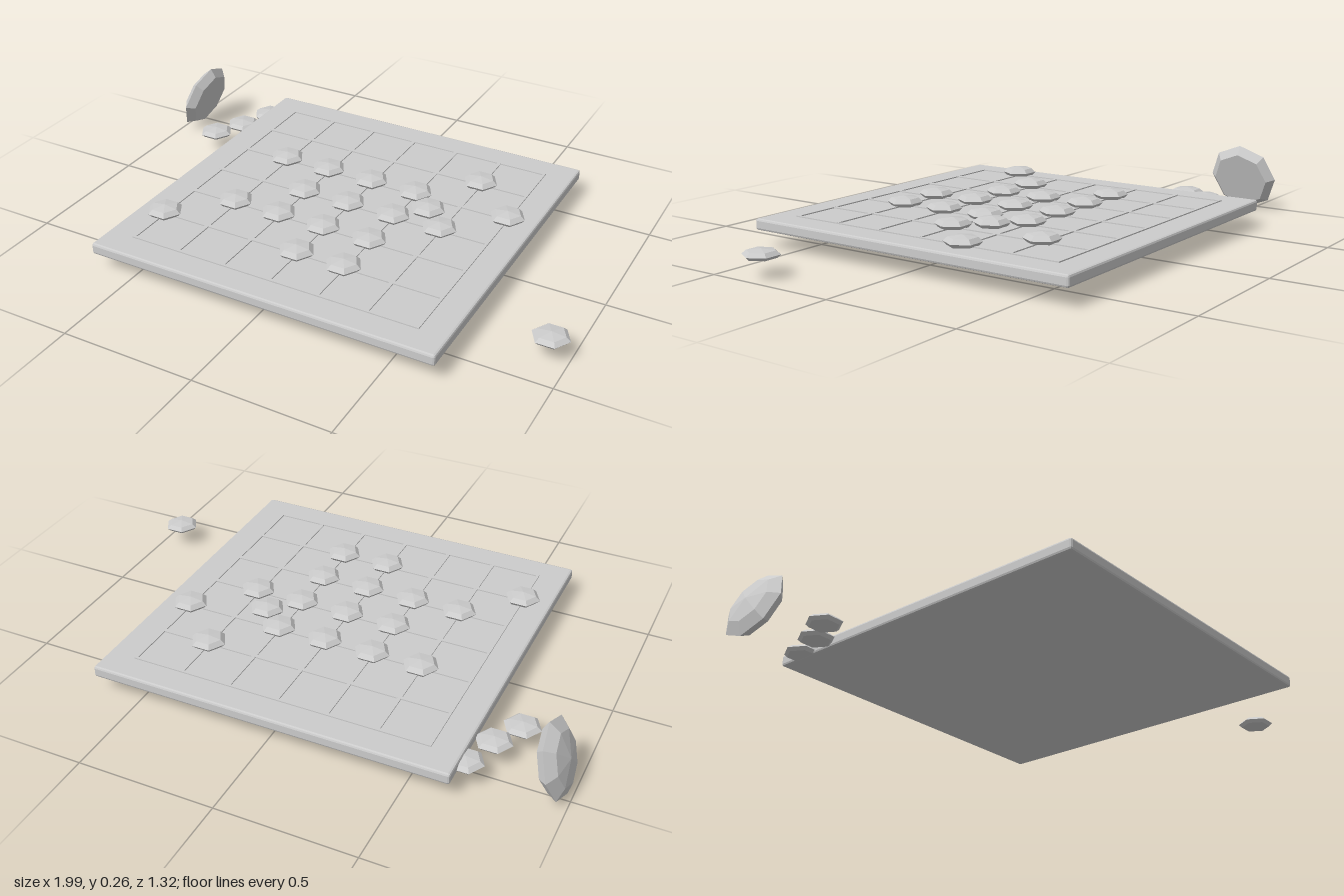
import * as THREE from 'three';
import { RoundedBoxGeometry } from 'three/addons/geometries/RoundedBoxGeometry.js';

const material = new THREE.MeshStandardMaterial({ color: 0xcccccc, flatShading: true });

function addMesh(parent, name, geometry, x, y, z) {
  const mesh = new THREE.Mesh(geometry, material);
  mesh.name = name;
  mesh.position.set(x, y, z);
  parent.add(mesh);
  return mesh;
}

// Faceted gem-like pebble: narrow flat base, wide rim, shoulder, low apex
function pebble(points, sides) {
  const profile = points.map(([r, y]) => new THREE.Vector2(r, y));
  return new THREE.LatheGeometry(profile, sides, Math.PI / 2);
}

export function createModel() {
  const model = new THREE.Group();
  const cx = 0.0075, cz = -0.002, step = 0.184;

  // Chamfered board slab
  addMesh(model, 'board', new RoundedBoxGeometry(1.32, 0.042, 1.315, 1, 0.008), cx, 0.086, cz);

  // Raised grid lines, with a thinner outer frame
  const grid = new THREE.Group();
  grid.name = 'gridLines';
  model.add(grid);
  for (let i = -3; i <= 3; i++) {
    const width = Math.abs(i) === 3 ? 0.01 : 0.015;
    const length = step * 6 + 0.01;
    addMesh(grid, 'lineAlongZ', new THREE.BoxGeometry(width, 0.008, length), cx + i * step, 0.107, cz);
    addMesh(grid, 'lineAlongX', new THREE.BoxGeometry(length, 0.0085, width), cx, 0.107, cz + i * step);
  }

  // Six-sided playing stones
  const stoneShape = pebble([[0, 0], [0.054, 0], [0.066, 0.013], [0.05, 0.028], [0, 0.035]], 6);
  const stones = new THREE.Group();
  stones.name = 'stones';
  model.add(stones);

  // Stones on grid crossings: row, then its columns, counted from the centre
  const rows = [[-2, [2]], [-1, [-2, -1, 0, 1, 3]], [0, [-1, 0, 1, 2]], [1, [-2, -1, 0, 1]], [2, [-3, 0, 1]]];
  for (const [row, columns] of rows) {
    for (const column of columns) {
      addMesh(stones, 'stone', stoneShape, cx + column * step, 0.109, cz + row * step);
    }
  }
  addMesh(stones, 'misplacedStone', stoneShape, 0.285, 0.109, -0.1);

  // Stones lying beside the board
  for (const [x, z] of [[-0.66, -0.54], [-0.71, -0.41], [-0.77, -0.3], [0.93, 0.35]]) {
    addMesh(stones, 'looseStone', stoneShape, x, 0.066, z).scale.y = 0.88;
  }

  // Large eight-sided stone standing on its edge
  const bigShape = pebble([[0, 0], [0.11, 0], [0.137, 0.03], [0.094, 0.057], [0, 0.071]], 8);
  addMesh(model, 'largeStone', bigShape, -0.91, 0.122, -0.465).rotation.z = 1.26;

  return model;
}
